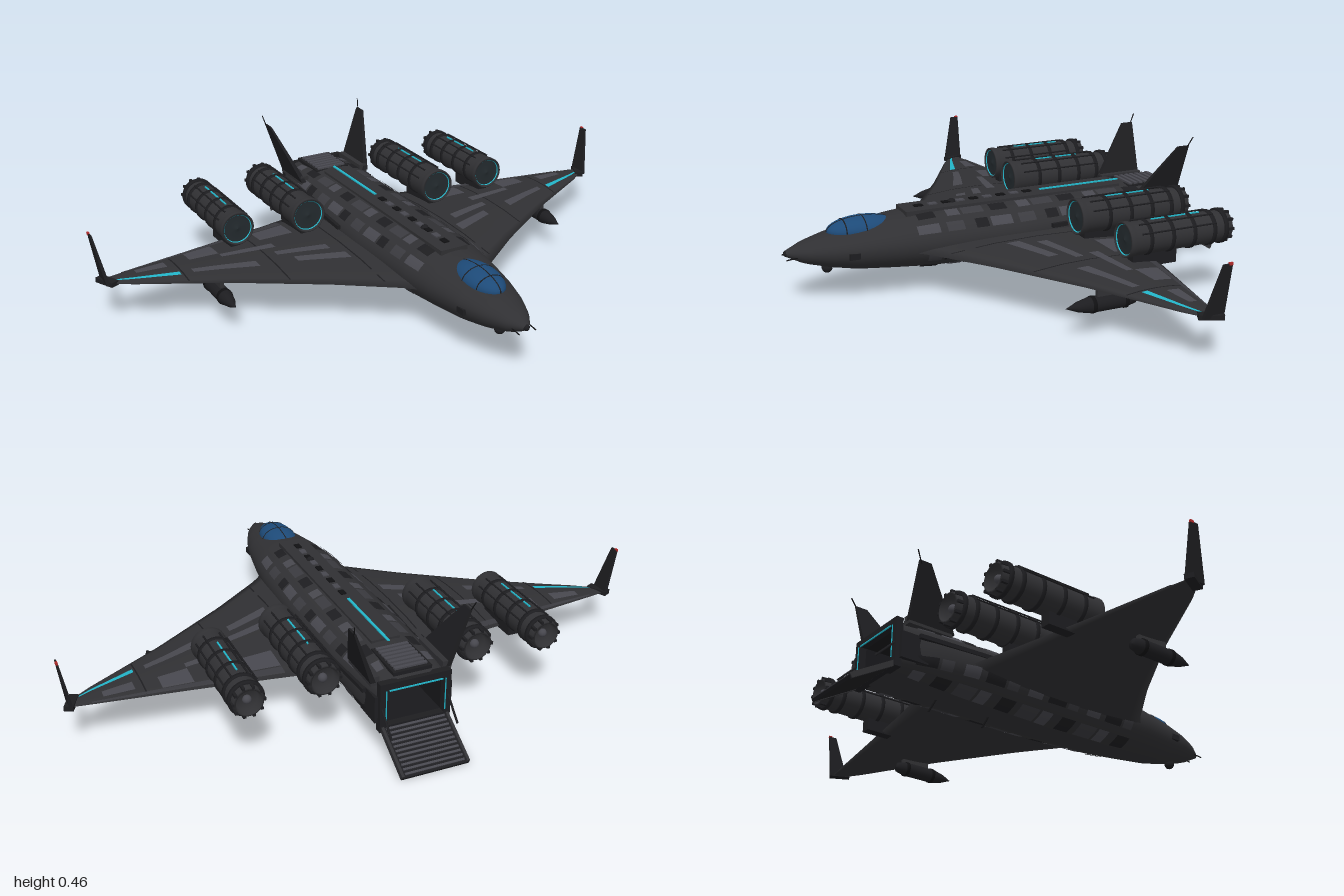
import * as THREE from 'three';
import { ParametricGeometry } from 'three/addons/geometries/ParametricGeometry.js';

const paint = (color, opts = {}) => new THREE.MeshStandardMaterial({ color, ...opts });
const DS = { side: THREE.DoubleSide };
const hull = paint(0x303033), dark = paint(0x1d1d20), black = paint(0x111113, DS);
const panel = paint(0x47474e, DS), mid = paint(0x3a3a3f, DS);
const glass = paint(0x1d4a78), cyan = paint(0x22b4c8, DS), red = paint(0xb02a2a);

// Fuselage stations: z, half width, top, widest height, bottom, squareness
const BODY = [
  [-0.62, 0.12, 0.255, 0.17, 0.085, 4], [-0.5, 0.14, 0.27, 0.175, 0.08, 2.8],
  [-0.35, 0.153, 0.275, 0.18, 0.075, 2.2], [0, 0.158, 0.275, 0.18, 0.07, 2],
  [0.3, 0.145, 0.275, 0.18, 0.078, 2], [0.42, 0.13, 0.265, 0.18, 0.088, 2],
  [0.55, 0.107, 0.246, 0.18, 0.1, 2], [0.64, 0.083, 0.23, 0.178, 0.118, 2],
  [0.72, 0.05, 0.21, 0.177, 0.14, 2], [0.775, 0.012, 0.188, 0.178, 0.168, 2]];
// Wing stations: x, leading z, trailing z, height, half thickness
const WING = [
  [0.1, 0.41, -0.37, 0.163, 0.026], [0.16, 0.345, -0.36, 0.162, 0.025],
  [0.35, 0.2, -0.325, 0.16, 0.02], [0.62, 0.02, -0.28, 0.157, 0.013],
  [0.89, -0.135, -0.237, 0.153, 0.007], [0.96, -0.185, -0.225, 0.152, 0.004]];

function sample(table, k) {
  let i = 0;
  while (i < table.length - 2 && k > table[i + 1][0]) i++;
  const a = table[i], b = table[i + 1], t = (k - a[0]) / (b[0] - a[0]);
  return a.map((v, j) => v + (b[j] - v) * t);
}

function bodyPoint(angle, z, out, p) {
  const [, w, top, cy, bot, n] = sample(BODY, z);
  const c = Math.cos(angle), s = Math.sin(angle);
  const sup = v => Math.sign(v) * Math.pow(Math.abs(v), 2 / n);
  p.set(sup(c) * (w + out), cy + sup(s) * ((s > 0 ? top - cy : cy - bot) + out), z);
}

// f runs from trailing edge (0) to leading edge (1)
function wingPoint(side, x, f, up, out, p) {
  const [, lead, trail, y, t] = sample(WING, x);
  const h = t * Math.pow(Math.max(0, Math.sin(Math.PI * f)), 0.6) + out;
  p.set(side * x, y + up * h, trail + (lead - trail) * f);
}

function add(parent, name, geo, mat, x = 0, y = 0, z = 0) {
  const m = new THREE.Mesh(geo, mat);
  m.name = name;
  m.position.set(x, y, z);
  parent.add(m);
  return m;
}
const box = (g, name, mat, w, h, d, x, y, z) => add(g, name, new THREE.BoxGeometry(w, h, d), mat, x, y, z);

function rod(g, name, mat, r, a, b) {
  const curve = new THREE.LineCurve3(new THREE.Vector3(...a), new THREE.Vector3(...b));
  return add(g, name, new THREE.TubeGeometry(curve, 1, r, 6), mat);
}

// Raised skin panel on the fuselage
function bodyPanel(g, name, mat, a0, a1, z0, z1, out = 0.003) {
  add(g, name, new ParametricGeometry((u, v, p) =>
    bodyPoint(a0 + (a1 - a0) * u, z0 + (z1 - z0) * v, out, p), 6, 6), mat);
}

// Raised skin panel on the wing top
function wingPanel(g, name, mat, side, x0, x1, f0, f1) {
  add(g, name, new ParametricGeometry((u, v, p) =>
    wingPoint(side, x0 + (x1 - x0) * v, f0 + (f1 - f0) * (side > 0 ? u : 1 - u), 1, 0.002, p), 4, 6), mat);
}

// Tapered plate; each end is [x, y, front z, back z, thickness]
function fin(g, name, mat, root, tip) {
  const geo = new THREE.BoxGeometry(1, 1, 1), p = geo.attributes.position;
  for (let i = 0; i < p.count; i++) {
    const e = p.getY(i) > 0 ? tip : root;
    p.setXYZ(i, e[0] + p.getX(i) * e[4], e[1], p.getZ(i) > 0 ? e[2] : e[3]);
  }
  geo.computeVertexNormals();
  return add(g, name, geo, mat);
}

// Turned part along z; profile is [radius, z] running from back to front
function turned(g, name, mat, profile, x, y, z, sides = 24) {
  const geo = new THREE.LatheGeometry(profile.map(q => new THREE.Vector2(...q)), sides);
  return add(g, name, geo.rotateX(Math.PI / 2), mat, x, y, z);
}

function buildFuselage(g) {
  add(g, 'fuselage', new ParametricGeometry((u, v, p) =>
    bodyPoint(u * 2 * Math.PI, -0.62 + 1.395 * v, 0, p), 40, 60), hull);
  add(g, 'noseTip', new THREE.SphereGeometry(0.011, 12, 8), dark, 0, 0.178, 0.772);
  // Dorsal spine with light strip, hatches and rear louvres
  box(g, 'spine', hull, 0.1, 0.016, 0.8, 0, 0.271, -0.02);
  box(g, 'spineLight', cyan, 0.009, 0.004, 0.31, 0, 0.281, -0.285);
  for (let i = 0; i < 9; i++) box(g, 'spineHatch', i % 2 ? panel : black, 0.02, 0.006, 0.03, 0, 0.28, -0.08 + i * 0.05);
  box(g, 'louvreBed', dark, 0.13, 0.012, 0.16, 0, 0.265, -0.53);
  for (let i = 0; i < 7; i++) box(g, 'louvre', panel, 0.11, 0.008, 0.012, 0, 0.273, -0.465 - i * 0.021);
  // Skin panels, mirrored left and right
  const mats = [panel, mid, dark];
  for (let i = 0; i < 11; i++) {
    const z = -0.56 + i * 0.085;
    [[0.95, 1.2], [0.45, 0.75], [-0.55, -0.2], [-1.2, -0.8]].forEach(([a, b], k) => {
      const z1 = z + 0.045 + 0.015 * ((i + k) % 3), m = mats[(i * 2 + k) % 3];
      bodyPanel(g, 'skinPanel', m, a, b, z, z1);
      bodyPanel(g, 'skinPanel', m, Math.PI - b, Math.PI - a, z, z1);
    });
  }
  for (const s of [-1, 1]) {
    box(g, 'sideRail', dark, 0.012, 0.014, 0.46, s * 0.15, 0.2, -0.33).rotation.y = s * 0.05;
    box(g, 'noseSensor', dark, 0.02, 0.02, 0.035, s * 0.095, 0.17, 0.575);
    box(g, 'rearFairing', dark, 0.02, 0.09, 0.1, s * 0.121, 0.16, -0.57);
    rod(g, 'probe', black, 0.002, [s * 0.03, 0.17, 0.73], [s * 0.03, 0.165, 0.78]);
  }
  // Chin sensor and belly aerials
  add(g, 'chinSensor', new THREE.SphereGeometry(0.018, 16, 12), dark, 0, 0.112, 0.64);
  for (const z of [-0.19, -0.4]) rod(g, 'bellyAerial', black, 0.003, [0, 0.08, z], [0, 0.03, z - 0.027]);
  add(g, 'dorsalDome', new THREE.SphereGeometry(0.014, 12, 8), dark, 0, 0.277, 0.2);
}

function buildCanopy(g) {
  add(g, 'canopy', new THREE.SphereGeometry(1, 28, 18), glass, 0, 0.232, 0.518).scale.set(0.062, 0.042, 0.12);
  const arch = (rx, ry, z) => {
    add(g, 'canopyFrame', new THREE.TorusGeometry(1, 0.035, 6, 20, Math.PI), dark, 0, 0.232, z).scale.set(rx, ry, 0.06);
  };
  arch(0.062, 0.042, 0.518);
  arch(0.051, 0.036, 0.583);
  const ridge = add(g, 'canopyRidge', new THREE.TorusGeometry(0.12, 0.002, 6, 24, Math.PI), dark, 0, 0.232, 0.518);
  ridge.rotation.y = Math.PI / 2;
  ridge.scale.y = 0.352;
}

function buildCargoBay(g) {
  // Open bay, its frame, and the lowered ramp
  add(g, 'bayLining', new THREE.BoxGeometry(0.2, 0.13, 0.2), paint(0x18181b, { side: THREE.BackSide }), 0, 0.17, -0.53);
  const rect = (C, w, h) => new C([[-w, -h], [w, -h], [w, h], [-w, h]].map(q => new THREE.Vector2(...q)));
  const shape = rect(THREE.Shape, 0.12, 0.084);
  shape.holes.push(rect(THREE.Path, 0.098, 0.063));
  add(g, 'bayFrame', new THREE.ExtrudeGeometry(shape, { depth: 0.025, bevelEnabled: false }), dark, 0, 0.17, -0.635);
  box(g, 'bayLight', cyan, 0.18, 0.004, 0.004, 0, 0.23, -0.637);
  const ramp = new THREE.Group();
  ramp.name = 'ramp';
  ramp.position.set(0, 0.098, -0.625);
  ramp.rotation.x = -0.53;
  box(ramp, 'rampPlate', dark, 0.226, 0.01, 0.178, 0, 0, -0.089);
  for (let i = 0; i < 11; i++) box(ramp, 'rampTread', panel, 0.2, 0.005, 0.007, 0, 0.007, -0.012 - i * 0.0155);
  for (const s of [-1, 1]) box(ramp, 'rampEdge', hull, 0.009, 0.018, 0.176, s * 0.11, 0.002, -0.088);
  g.add(ramp);
  for (const s of [-1, 1]) {
    rod(g, 'rampStrut', dark, 0.004, [s * 0.112, 0.18, -0.62], [s * 0.112, 0.1, -0.7]);
    rod(g, 'bayLightSide', cyan, 0.002, [s * 0.1, 0.12, -0.637], [s * 0.1, 0.23, -0.637]);
  }
}

function buildWing(g, s) {
  add(g, 'wing', new ParametricGeometry((u, v, p) => {
    const t = s > 0 ? u : 1 - u;
    wingPoint(s, 0.1 + 0.86 * v, t < 0.5 ? t * 2 : 2 - t * 2, t < 0.5 ? 1 : -1, 0.0005, p);
  }, 32, 36), hull);
  [[0.22, 0.38, 0.62, 0.69], [0.25, 0.42, 0.5, 0.56], [0.3, 0.42, 0.1, 0.26], [0.4, 0.58, 0.36, 0.43],
    [0.5, 0.7, 0.62, 0.72], [0.58, 0.68, 0.1, 0.34], [0.76, 0.86, 0.2, 0.42]]
    .forEach(q => wingPanel(g, 'wingPanel', panel, s, ...q));
  for (const x of [0.2, 0.45, 0.73]) wingPanel(g, 'wingSeam', dark, s, x, x + 0.005, 0.04, 0.96);
  wingPanel(g, 'flap', mid, s, 0.3, 0.9, 0.03, 0.09);
  wingPanel(g, 'wingLight', cyan, s, 0.74, 0.93, 0.66, 0.76);
  // Wing tip fairing and upright winglet
  box(g, 'tipFairing', dark, 0.03, 0.016, 0.075, s * 0.957, 0.153, -0.2).rotation.y = -s * 0.45;
  fin(g, 'winglet', dark, [s * 0.963, 0.15, -0.168, -0.236, 0.012], [s * 0.992, 0.318, -0.208, -0.238, 0.006]);
  box(g, 'tipLight', red, 0.007, 0.008, 0.012, s * 0.993, 0.318, -0.232);
  // Pod slung below the wing
  turned(g, 'pod', dark, [[0, -0.12], [0.018, -0.115], [0.025, -0.08], [0.025, 0.04], [0.016, 0.08], [0, 0.12]], s * 0.64, 0.108, -0.02, 16);
  box(g, 'podPylon', hull, 0.014, 0.035, 0.11, s * 0.64, 0.138, -0.06);
  for (const z of [-0.1, 0.01]) turned(g, 'podBand', black, [[0.022, -0.006], [0.027, -0.006], [0.027, 0.006], [0.022, 0.006]], s * 0.64, 0.108, z, 16);
}

function buildEngine(parent, x, y, r, front, back) {
  const g = new THREE.Group(), L = front - back;
  g.name = 'engine';
  g.position.set(x, y, back);
  turned(g, 'nacelle', hull, [[0, 0.025], [r * 0.62, 0.025], [r * 0.72, 0], [r * 0.82, 0.003], [r * 0.88, 0.05], [r * 0.92, 0.1],
    [r * 0.94, L - 0.03], [r, L - 0.02], [r, L - 0.003], [r * 0.93, L], [r * 0.87, L - 0.008]], 0, 0, 0, 28);
  turned(g, 'intakeFace', paint(0x232a2e), [[r * 0.9, L - 0.01], [r * 0.3, L - 0.012], [0, L - 0.005]], 0, 0, 0, 28);
  turned(g, 'intakeLight', cyan, [[r * 0.82, L - 0.008], [r * 0.86, L - 0.005]], 0, 0, 0, 28);
  for (const z of [0.03, 0.075, 0.15, 0.23, 0.31])
    turned(g, 'band', dark, [[r * 0.85, z - 0.006], [r, z - 0.006], [r, z + 0.006], [r * 0.85, z + 0.006]], 0, 0, 0, 28);
  for (let i = 0; i < 10; i++) {
    const a = i * Math.PI / 5;
    box(g, 'nozzleLug', dark, 0.009, 0.009, 0.022, Math.cos(a) * r * 0.85, Math.sin(a) * r * 0.85, 0.012);
  }
  for (const a of [0.5, 1.1, 2.04, 2.64])
    rod(g, 'pipe', dark, 0.003, [Math.cos(a) * r, Math.sin(a) * r, 0.07], [Math.cos(a) * r, Math.sin(a) * r, L - 0.04]);
  box(g, 'engineLight', cyan, 0.005, 0.005, 0.18, 0, r * 0.94, L - 0.19);
  add(g, 'nozzleCore', new THREE.SphereGeometry(r * 0.25, 12, 8), panel, 0, 0, 0.022);
  // Pylon down to the wing
  box(g, 'pylon', dark, 0.035, 0.05, 0.16, 0, -r - 0.012, L - 0.11);
  parent.add(g);
}

export function createModel() {
  const g = new THREE.Group();
  g.name = 'transportAircraft';
  buildFuselage(g);
  buildCanopy(g);
  buildCargoBay(g);
  for (const s of [-1, 1]) {
    buildWing(g, s);
    buildEngine(g, s * 0.26, 0.255, 0.061, -0.13, -0.545);
    buildEngine(g, s * 0.505, 0.245, 0.058, -0.17, -0.555);
    // Canted tail fin with an aerial at its tip
    fin(g, 'tailFin', dark, [s * 0.128, 0.245, -0.43, -0.6, 0.018], [s * 0.192, 0.43, -0.565, -0.608, 0.007]);
    rod(g, 'finAerial', black, 0.002, [s * 0.192, 0.42, -0.6], [s * 0.2, 0.46, -0.62]);
    box(g, 'finRoot', hull, 0.03, 0.03, 0.16, s * 0.122, 0.25, -0.52);
  }
  return g;
}
